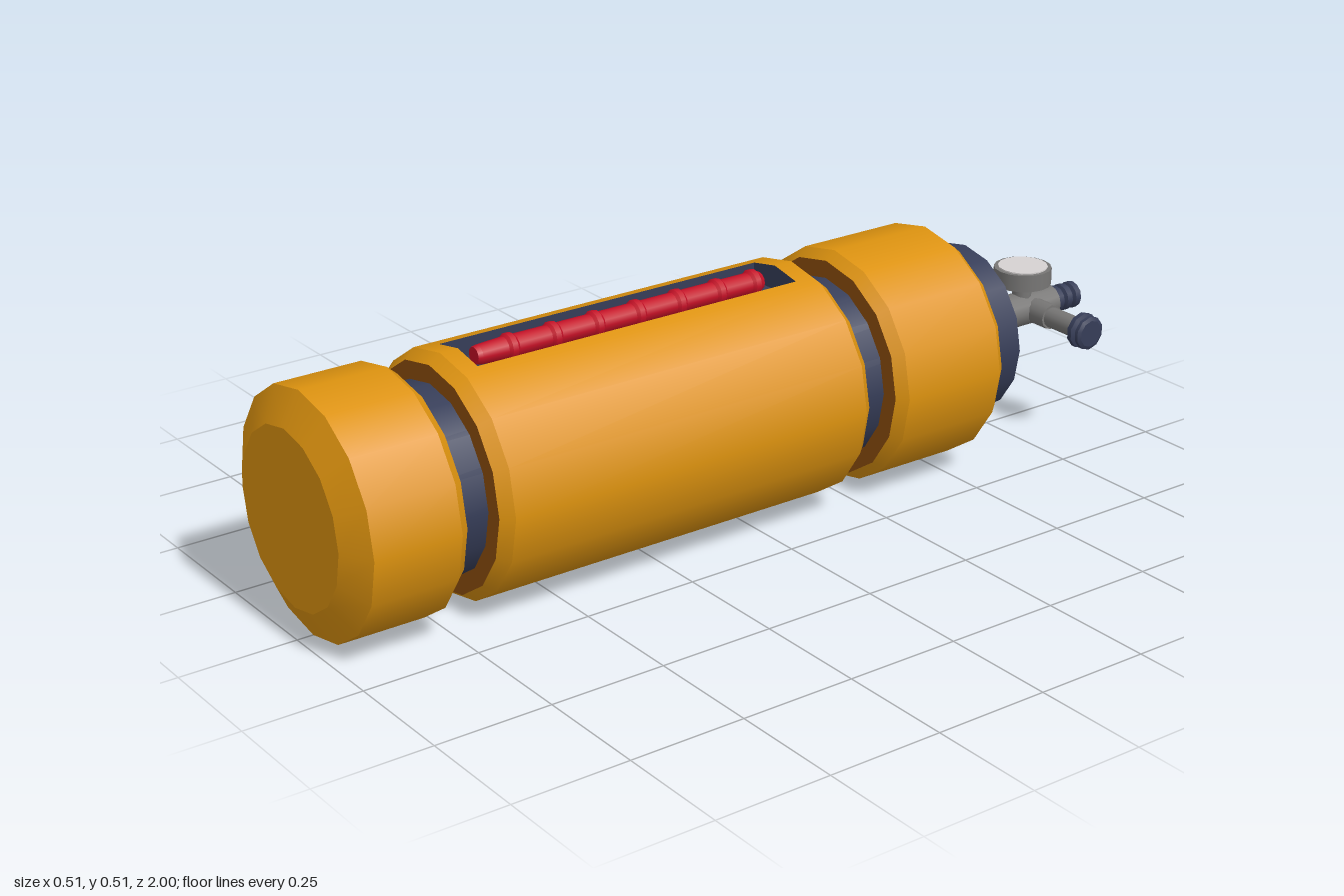
import * as THREE from 'three';
import { mergeGeometries } from 'three/addons/utils/BufferGeometryUtils.js';

const CY = 0.255;            // height of the cylinder axis
const R = 0.254;             // radius of the casing
const STEP = Math.PI / 8;    // sixteen sides
const SLOT = { x: 0.07, z0: -0.145, z1: 0.62, floor: 0.456 };

function mat(name, color, side = THREE.FrontSide) {
  const m = new THREE.MeshStandardMaterial({ color, side });
  m.name = name;
  return m;
}

// Turned shape along z from [radius, z] pairs (z rising), with a crisp edge at each pair
function turned(profile, sides = 16, phi = 0, length = Math.PI * 2) {
  const bands = [];
  for (let i = 0; i < profile.length - 1; i++) {
    const pts = [profile[i], profile[i + 1]].map(([r, z]) => new THREE.Vector2(r, z));
    bands.push(new THREE.LatheGeometry(pts, sides, phi, length));
  }
  return mergeGeometries(bands).rotateX(Math.PI / 2);
}

// Flat strip of the casing beside the slot, on side s
function slotStrip(s) {
  const bx = R * Math.sin(STEP), by = R * Math.cos(STEP);
  const ay = R - (R - by) * SLOT.x / bx;
  const { x, z0, z1 } = SLOT;
  const corners = [[s * x, ay, z0], [s * x, ay, z1], [s * bx, by, z1], [s * bx, by, z0]];
  const g = new THREE.BufferGeometry();
  g.setAttribute('position', new THREE.Float32BufferAttribute(corners.flat(), 3));
  const normals = corners.flatMap(([px, py]) => new THREE.Vector3(px, py, 0).normalize().toArray());
  g.setAttribute('normal', new THREE.Float32BufferAttribute(normals, 3));
  g.setIndex(s > 0 ? [0, 1, 2, 0, 2, 3] : [0, 2, 1, 0, 3, 2]);
  return g;
}

export function createModel() {
  const orange = mat('orange casing', 0xdc920f);
  const brown = mat('dark orange rim', 0x8f4f0c);
  const navy = mat('navy metal', 0x363d58, THREE.DoubleSide);
  const red = mat('red', 0xc41026);
  const grey = mat('grey metal', 0x777675);
  const white = mat('dial white', 0xd6d2d2);

  const model = new THREE.Group();
  model.name = 'gasCylinder';
  const add = (name, geo, material, x = 0, y = CY, z = 0) => {
    const mesh = new THREE.Mesh(geo, material);
    mesh.name = name;
    mesh.position.set(x, y, z);
    model.add(mesh);
    return mesh;
  };

  // Inner tank with its shoulder
  add('tank', turned([[0.197, -0.5], [0.197, 0.9]]), navy);
  add('tankShoulder', turned([[0, -0.748], [0.04, -0.745], [0.115, -0.72], [0.187, -0.667], [0.187, -0.5]]), navy);

  // Casing: front cap, rear sleeve and the slotted middle sleeve
  add('frontCap', turned([[0.235, 0.755], [R, 0.777], [R, 0.965], [0.185, 1], [0, 1]]), orange);
  add('rearSleeve', turned([[0.235, -0.572], [R, -0.55], [R, -0.302], [0.235, -0.28]]), orange);
  const full = [[0.235, -0.21], [R, -0.188], [R, 0.66], [0.235, 0.685]];
  add('middleSleeve', turned(full, 14, Math.PI + STEP, STEP * 14), orange);
  const top = (name, profile) => add(name, turned(profile, 2, Math.PI - STEP, STEP * 2), orange);
  top('sleeveTopRear', [full[0], full[1], [R, SLOT.z0]]);
  top('sleeveTopFront', [[R, SLOT.z1], full[2], full[3]]);
  for (const s of [-1, 1]) add('slotEdge', slotStrip(s), orange);

  // Dark end faces of the sleeves
  for (const z of [0.755, -0.21, -0.572]) add('rearRim', turned([[0.185, z], [0.235, z]]), brown);
  for (const z of [0.685, -0.28]) add('frontRim', turned([[0.235, z], [0.185, z]]), brown);

  // Slot floor and walls
  const length = SLOT.z1 - SLOT.z0, mid = (SLOT.z1 + SLOT.z0) / 2;
  add('slotFloor', new THREE.PlaneGeometry(SLOT.x * 2, length).rotateX(-Math.PI / 2), navy, 0, SLOT.floor, mid);
  const edgeY = CY + R - SLOT.x * Math.tan(STEP / 2);
  const sideWall = new THREE.PlaneGeometry(length, edgeY - SLOT.floor).rotateY(Math.PI / 2);
  for (const s of [-1, 1]) add('slotSideWall', sideWall, navy, s * SLOT.x, (edgeY + SLOT.floor) / 2, mid);
  const endShape = new THREE.Shape([
    [-SLOT.x, SLOT.floor], [SLOT.x, SLOT.floor], [SLOT.x, edgeY], [0, CY + R], [-SLOT.x, edgeY],
  ].map(([x, y]) => new THREE.Vector2(x, y)));
  for (const z of [SLOT.z0, SLOT.z1]) add('slotEndWall', new THREE.ShapeGeometry(endShape), navy, 0, 0, z);

  // Red level tube with raised rings
  const tube = [[0, -0.11], [0.019, -0.105]];
  for (let i = 0; i < 7; i++) {
    const z = -0.095 + i * 0.1 + (i === 0 ? 0.01 : 0);
    tube.push([0.023, z - 0.012], [0.028, z - 0.006], [0.028, z + 0.006], [0.023, z + 0.012]);
  }
  tube.push([0.02, 0.575], [0.018, 0.585], [0, 0.585]);
  add('levelTube', turned(tube, 12), red, 0, 0.485);

  // Valve body and ribbed hose nozzle
  add('valveBody', turned([[0, -0.925], [0.038, -0.925], [0.038, -0.74]], 12), grey);
  const nozzle = [[0, -1], [0.024, -1]];
  for (let i = 0; i < 3; i++) {
    const z = -0.995 + i * 0.025;
    nozzle.push([0.03, z], [0.03, z + 0.014], [0.023, z + 0.018]);
  }
  nozzle.push([0.023, -0.92]);
  add('hoseNozzle', turned(nozzle, 12), navy);

  // Side branch with its knob
  const sideways = (r, len) => new THREE.CylinderGeometry(r, r, len, 12).rotateZ(Math.PI / 2);
  add('branch', sideways(0.023, 0.17), grey, 0.085, CY, -0.858);
  add('branchCollar', sideways(0.028, 0.06), grey, 0.05, CY, -0.858);
  const knob = turned([[0, 0.165], [0.03, 0.165], [0.04, 0.172], [0.04, 0.183], [0.03, 0.187],
    [0.03, 0.19], [0.038, 0.194], [0.038, 0.202], [0.03, 0.206], [0, 0.206]], 10);
  add('branchKnob', knob.rotateY(Math.PI / 2), navy, 0, CY, -0.858);

  // Pressure gauge
  add('gaugeStem', new THREE.CylinderGeometry(0.022, 0.022, 0.07, 12), grey, 0, 0.29, -0.84);
  add('gaugeCase', new THREE.CylinderGeometry(0.064, 0.064, 0.038, 16), grey, 0, 0.336, -0.84);
  add('gaugeDial', new THREE.CylinderGeometry(0.055, 0.055, 0.004, 16), white, 0, 0.356, -0.84);

  return model;
}
